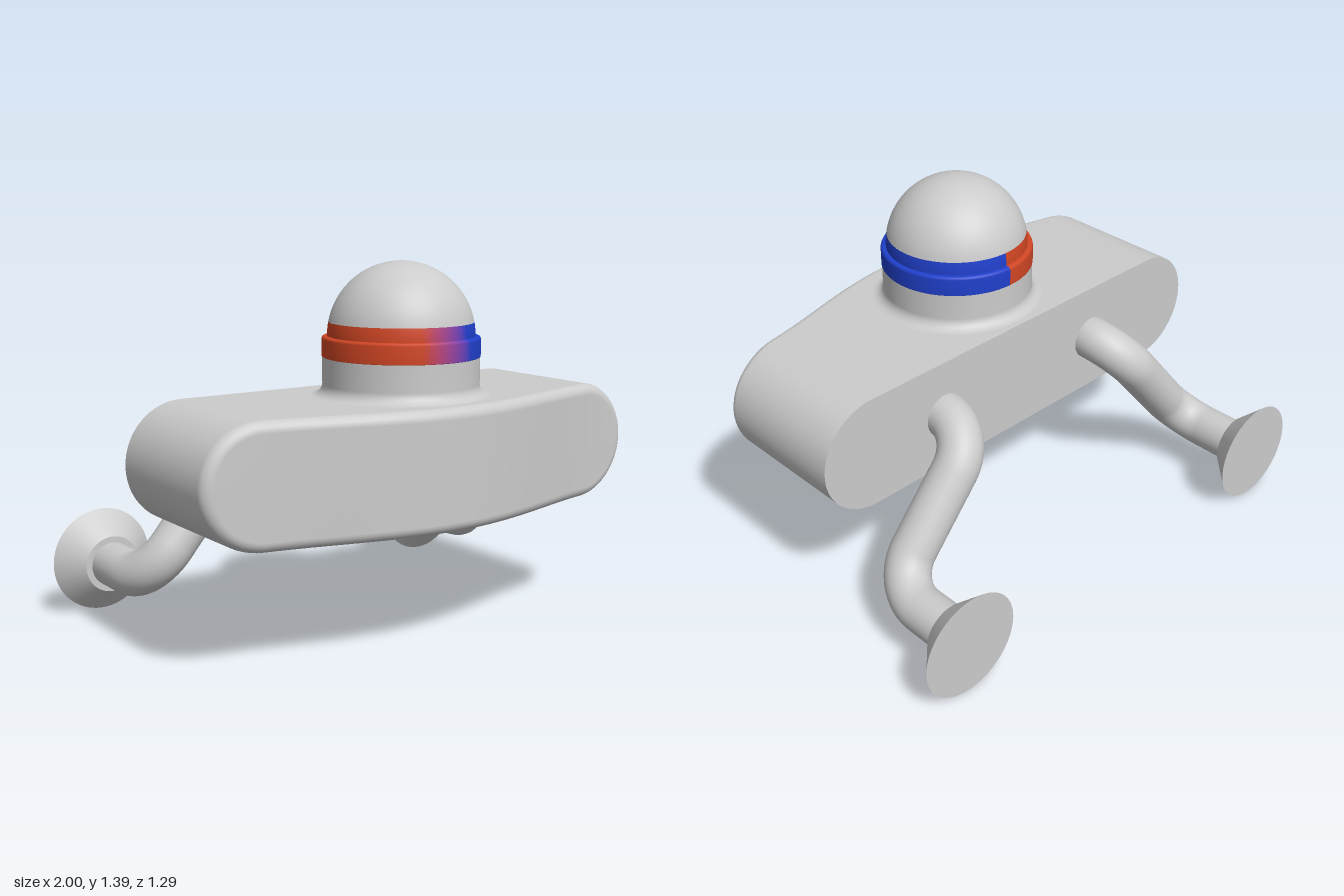
import * as THREE from 'three';

const grey = new THREE.MeshStandardMaterial({ color: 0xcccccc });
const RED = new THREE.Color(0xd24624), BLUE = new THREE.Color(0x2040cc);
const V = (x, y, z) => new THREE.Vector3(x, y, z);

function add(parent, name, geometry, material = grey) {
  const mesh = new THREE.Mesh(geometry, material);
  mesh.name = name;
  parent.add(mesh);
  return mesh;
}

// Body: a stadium section swept from a flat back to a bowed, rounded front
const MID_Y = 0.688, R = 0.222, HALF = 0.722, BACK = -0.09, ARC = 16, FLAT = 32;
const N = 2 * (2 * ARC + FLAT);
const frontZ = x => 0.56 + 0.085 * Math.cos(Math.PI * Math.min(1, Math.abs(x) / 0.94));

function stadium(inset) {
  const r = R - inset, half = [];
  for (let i = 0; i <= ARC; i++) {
    const a = (i / ARC) * Math.PI / 2;
    half.push([HALF + r * Math.cos(a), r * Math.sin(a)]);
  }
  for (let i = 1; i < FLAT; i++) half.push([HALF - 2 * HALF * i / FLAT, r]);
  for (let i = 0; i <= ARC; i++) {
    const a = (1 + i / ARC) * Math.PI / 2;
    half.push([-HALF + r * Math.cos(a), r * Math.sin(a)]);
  }
  const lower = half.slice(1, -1).reverse().map(([x, y]) => [x, -y]);
  return half.concat(lower);
}

function geometryFrom(pos, index) {
  const g = new THREE.BufferGeometry();
  g.setAttribute('position', new THREE.Float32BufferAttribute(pos, 3));
  g.setIndex(index);
  g.computeVertexNormals();
  return g;
}

// Strip of quads joining the upper and lower halves of one ring
function capIndex(base, flip) {
  const idx = [];
  for (let i = 0; i < N / 2; i++) {
    const a = base + i, b = a + 1, c = base + (N - i - 1), d = base + (N - i) % N;
    const tris = i === 0 ? [[a, b, c]] : i === N / 2 - 1 ? [[a, b, d]] : [[a, b, c], [a, c, d]];
    tris.forEach(t => idx.push(...(flip ? t.reverse() : t)));
  }
  return idx;
}

function buildBody(group) {
  const f = 0.04, steps = 6, pos = [], idx = [];
  const ring = (inset, zAt) => stadium(inset).forEach(([x, y]) => pos.push(x, MID_Y + y, zAt(x)));
  ring(0, () => BACK);
  for (let k = 0; k <= steps; k++) {
    const a = (k / steps) * Math.PI / 2;
    ring(f * (1 - Math.cos(a)), x => frontZ(x) - f * (1 - Math.sin(a)));
  }
  for (let k = 0; k <= steps; k++) {
    for (let i = 0; i < N; i++) {
      const j = (i + 1) % N, a = k * N + i, b = k * N + j, c = b + N, d = a + N;
      idx.push(a, b, c, a, c, d);
    }
  }
  idx.push(...capIndex((steps + 1) * N, false));
  add(group, 'body', geometryFrom(pos, idx));
  add(group, 'bodyBack', geometryFrom(pos.slice(0, 3 * N), capIndex(0, true)));
}

// Knob: neck with a flared foot, two-tone ring and dome
const DOME_R = 0.27, DOME_Y = 1.125, BAND_TOP = 1.175;
const lathe = (pts, segments = 64, start = 0, sweep = 2 * Math.PI) =>
  new THREE.LatheGeometry(pts.map(([x, y]) => new THREE.Vector2(x, y)), segments, start, sweep);

function domeProfile(y0, y1, n) {
  const a0 = Math.asin((y0 - DOME_Y) / DOME_R), a1 = Math.asin((y1 - DOME_Y) / DOME_R), pts = [];
  for (let i = 0; i <= n; i++) {
    const a = a0 + (a1 - a0) * i / n;
    pts.push([Math.max(0, DOME_R * Math.cos(a)), DOME_Y + DOME_R * Math.sin(a)]);
  }
  return pts;
}

function buildKnob(group) {
  const knob = new THREE.Group();
  knob.name = 'knob';
  knob.position.z = 0.26;
  group.add(knob);

  const foot = [];
  for (let i = 0; i <= 8; i++) {
    const a = (i / 8) * Math.PI / 2;
    foot.push([0.33 - 0.042 * Math.sin(a), 0.952 - 0.042 * Math.cos(a)]);
  }
  add(knob, 'neck', lathe([...foot, [0.288, 1.05]]));
  add(knob, 'dome', lathe(domeProfile(BAND_TOP, DOME_Y + DOME_R, 24)));

  const wall = [[0.288, 1.05], [0.29, 1.052], [0.29, 1.115], [0.287, 1.122], [0.28, 1.125], [0.265, 1.125]];
  const upper = domeProfile(DOME_Y, BAND_TOP, 5);
  const band = (name, color, start, sweep, segments) => {
    const material = new THREE.MeshStandardMaterial({ color });
    add(knob, name + 'Ring', lathe(wall, segments, start, sweep), material);
    add(knob, name + 'DomeBand', lathe(upper, segments, start, sweep), material);
  };
  // Red and blue blend over a narrow arc at the front and meet sharply at the back
  const blend = 0.36, slices = 12, step = 2 * blend / slices;
  band('cold', BLUE, blend, Math.PI - blend, 32);
  band('hot', RED, Math.PI, Math.PI - blend, 32);
  for (let i = 0; i < slices; i++) {
    band('blend', RED.clone().lerp(BLUE, (i + 0.5) / slices), -blend + i * step, step, 1);
  }
}

// Supply pipe: straight out, bend down and outward, bend back to the wall flange
function pipePath(points, radius) {
  const path = new THREE.CurvePath(), k = 0.5523;
  let from = points[0];
  for (let i = 1; i < points.length - 1; i++) {
    const p = points[i];
    const inDir = p.clone().sub(points[i - 1]).normalize();
    const outDir = points[i + 1].clone().sub(p).normalize();
    const a = p.clone().addScaledVector(inDir, -radius), b = p.clone().addScaledVector(outDir, radius);
    path.add(new THREE.LineCurve3(from, a));
    path.add(new THREE.CubicBezierCurve3(a, a.clone().addScaledVector(inDir, radius * k),
      b.clone().addScaledVector(outDir, -radius * k), b));
    from = b;
  }
  path.add(new THREE.LineCurve3(from, points[points.length - 1]));
  return path;
}

function buildSupply(group, side, name) {
  const supply = new THREE.Group();
  supply.name = name;
  group.add(supply);
  const x = side * 0.797, y = 0.205, z = -0.245;
  const points = [V(side * 0.39, MID_Y, -0.06), V(side * 0.39, MID_Y, z), V(x, y, z), V(x, y, -0.6)];
  add(supply, 'pipe', new THREE.TubeGeometry(pipePath(points, 0.16), 80, 0.086, 32));
  const flange = add(supply, 'wallFlange', new THREE.CylinderGeometry(0.11, 0.203, 0.1, 48));
  flange.rotation.x = Math.PI / 2;
  flange.position.set(x, y, -0.6);
}

export function createModel() {
  const group = new THREE.Group();
  group.name = 'wallTap';
  buildBody(group);
  buildKnob(group);
  buildSupply(group, 1, 'leftSupply');
  buildSupply(group, -1, 'rightSupply');
  return group;
}
